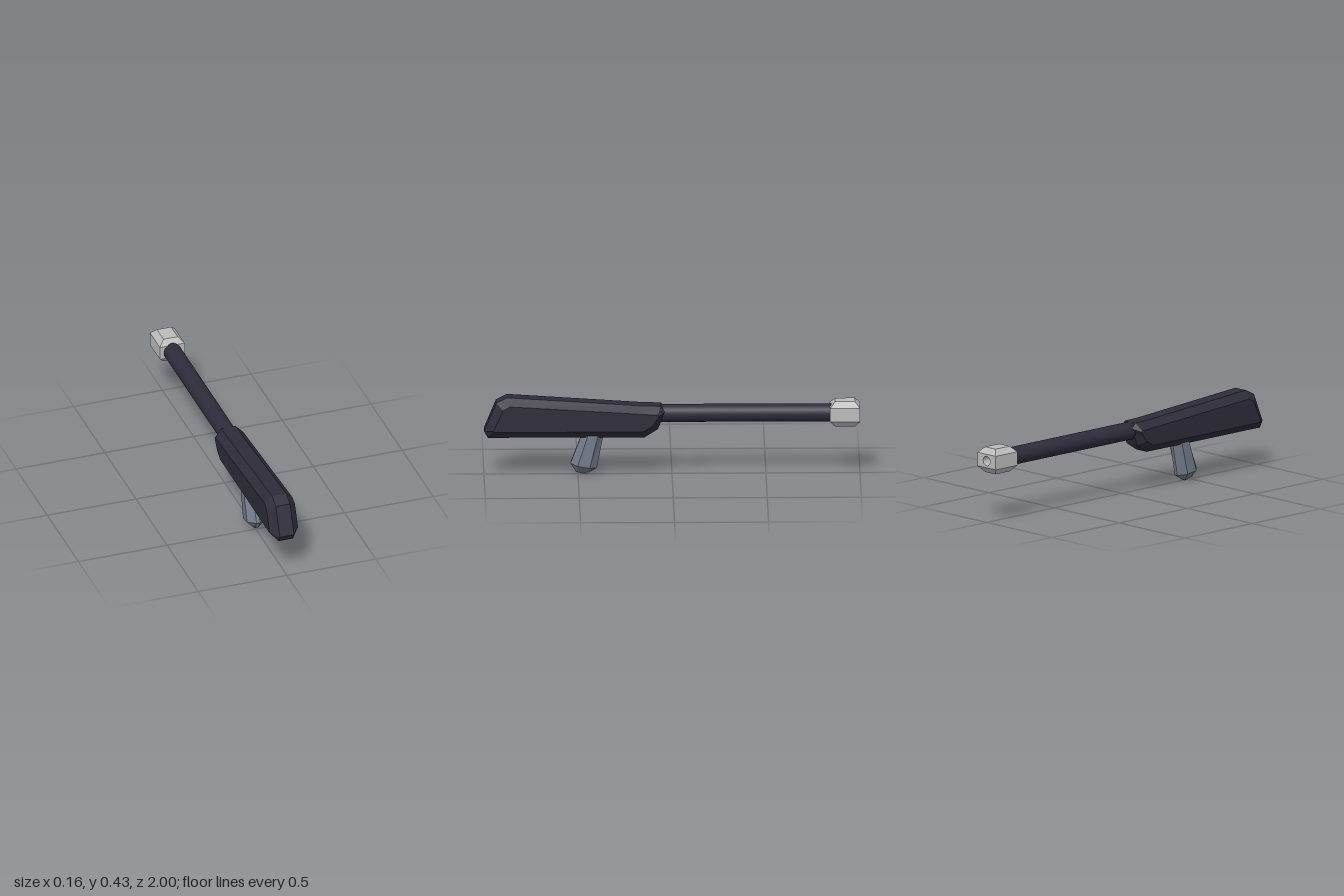
import * as THREE from 'three';

const mat = (name, color, flat = true) => {
  const m = new THREE.MeshStandardMaterial({ color, flatShading: flat });
  m.name = name;
  return m;
};

// Closed flat-sided solid through rings that run counter-clockwise about the loft direction
function loft(rings) {
  const pos = [];
  const tri = (...pts) => pts.forEach((p) => pos.push(...p));
  const n = rings[0].length, last = rings[rings.length - 1], first = rings[0];
  for (let r = 0; r < rings.length - 1; r++) {
    for (let i = 0; i < n; i++) {
      const j = (i + 1) % n, lo = rings[r], hi = rings[r + 1];
      tri(lo[i], lo[j], hi[j]);
      tri(lo[i], hi[j], hi[i]);
    }
  }
  for (let i = 1; i < n - 1; i++) {
    tri(first[0], first[i + 1], first[i]);
    tri(last[0], last[i], last[i + 1]);
  }
  const g = new THREE.BufferGeometry();
  g.setAttribute('position', new THREE.Float32BufferAttribute(pos, 3));
  g.computeVertexNormals();
  return g;
}

export function createModel() {
  const group = new THREE.Group();
  const dark = mat('dark body', 0x2e2c3a);
  const darkSmooth = dark;
  const steel = mat('grip grey', 0x747b8a);
  const silver = mat('light grey', 0xbcbcbc);
  const add = (name, geo, material, parent = group) => {
    const m = new THREE.Mesh(geo, material);
    m.name = name;
    parent.add(m);
    return m;
  };

  // Stock: side profile as [z, y], wide bevel towards both flanks
  const outer = [[1, 0.245], [0.98, 0.21], [0.145, 0.21], [0.075, 0.255], [0.035, 0.352],
    [0.06, 0.38], [0.166, 0.383], [0.877, 0.43], [0.936, 0.4]];
  const inner = [[0.95, 0.255], [0.945, 0.25], [0.155, 0.25], [0.105, 0.28], [0.068, 0.335],
    [0.075, 0.342], [0.166, 0.347], [0.862, 0.39], [0.9, 0.37]];
  const at = (x, profile) => profile.map(([z, y]) => [x, y, z]);
  add('stock', loft([at(-0.08, inner), at(-0.04, outer), at(0.04, outer), at(0.08, inner)]), dark);

  // Barrel, round and smooth
  dark.flatShading = false; // the loft is unindexed, so its faces stay flat
  const barrel = add('barrel', new THREE.CylinderGeometry(0.048, 0.048, 0.98, 32), darkSmooth);
  barrel.rotation.x = Math.PI / 2;
  barrel.position.set(0, 0.333, -0.37);

  // Grip: slanted eight-sided bar with a chamfered tip
  const section = (wide, front, back, yFront, yBack) => {
    const p = (x, t) => [x, yFront + (yBack - yFront) * t, front + (back - front) * t];
    return [p(0.01, 0), p(wide, 0.27), p(wide, 0.73), p(0.01, 1),
      p(-0.01, 1), p(-wide, 0.73), p(-wide, 0.27), p(-0.01, 0)];
  };
  add('grip', loft([
    section(0.01, 0.51, 0.455, 0.013, 0.0),
    section(0.05, 0.54, 0.4, 0.06, 0.035),
    section(0.05, 0.472, 0.36, 0.24, 0.24),
  ]), steel);

  // Muzzle: block with a bore at the back end and a sloped cap above and below
  const muzzle = new THREE.Group();
  muzzle.name = 'muzzle';
  group.add(muzzle);
  const yLow = 0.298, yHigh = 0.372, zNear = -0.84, zFar = -1, depth = 0.1;
  const face = new THREE.Shape([[-0.07, yLow], [0.07, yLow], [0.07, yHigh], [-0.07, yHigh]]
    .map(([x, y]) => new THREE.Vector2(x, y)));
  face.holes.push(new THREE.Path().absarc(0, 0.335, 0.026, 0, Math.PI * 2, true));
  const bored = new THREE.ExtrudeGeometry(face, { depth, bevelEnabled: false, curveSegments: 16 });
  add('boredBlock', bored, silver, muzzle).position.z = zFar;
  const solidDepth = zNear - zFar - depth;
  add('solidBlock', new THREE.BoxGeometry(0.14, yHigh - yLow, solidDepth), silver, muzzle)
    .position.set(0, (yLow + yHigh) / 2, zNear - solidDepth / 2);
  const rect = (w, y, z0, z1) => [[w, y, z0], [w, y, z1], [-w, y, z1], [-w, y, z0]];
  const base = (y) => rect(0.07, y, zNear, zFar);
  const tip = (y) => rect(0.04, y, -0.868, -0.973);
  add('upperCap', loft([base(yHigh), tip(0.402)]), silver, muzzle);
  add('lowerCap', loft([tip(0.265), base(yLow)]), silver, muzzle);

  return group;
}
